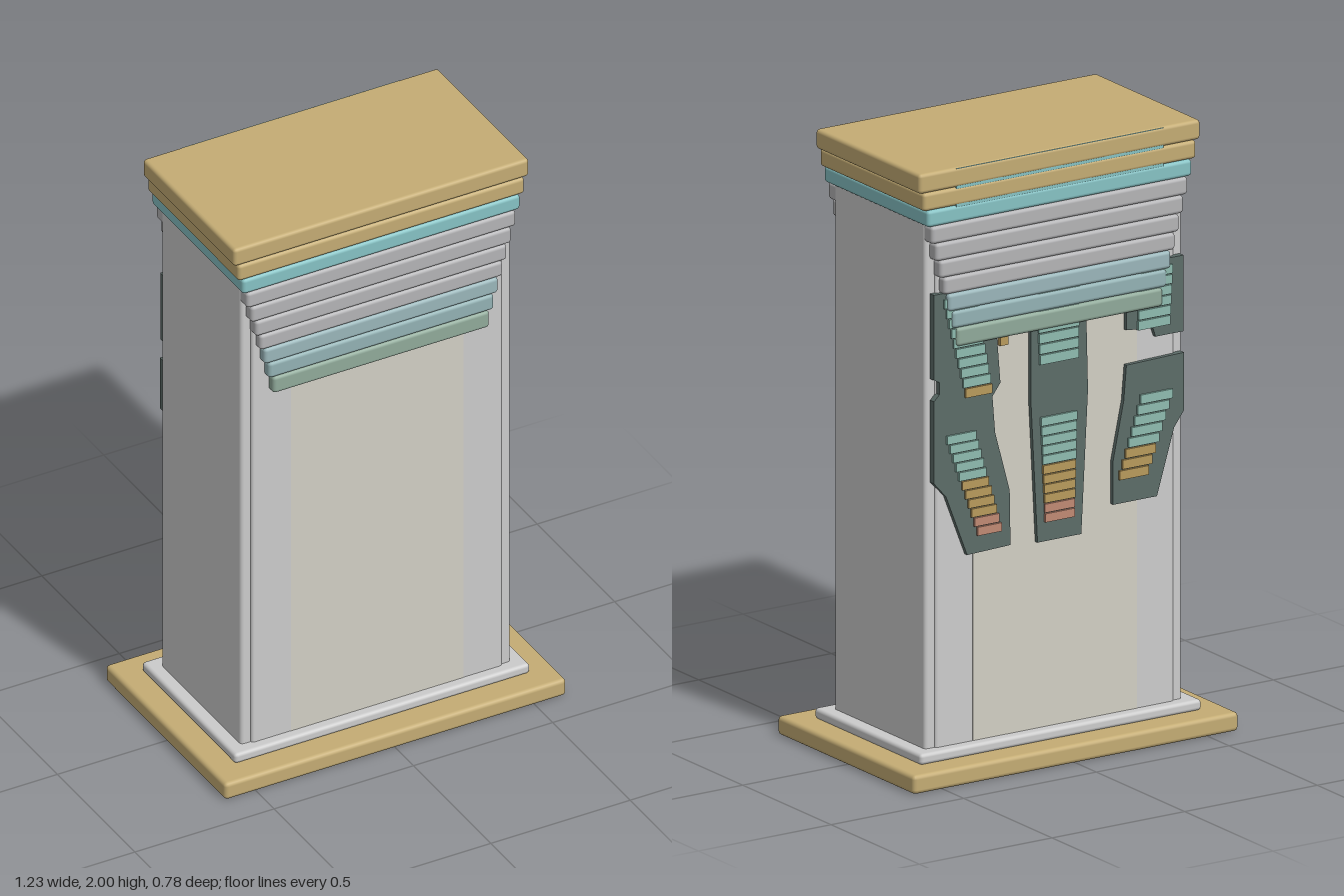
import * as THREE from 'three';
import { RoundedBoxGeometry } from 'three/addons/geometries/RoundedBoxGeometry.js';

const GOLD = 0xc4ac74, TEAL = 0x86c2c4, GREY = 0xb4b4b6, SLATE = 0x5c6c68;
const MINT = 0x8fbcb0, OCHRE = 0xb89a5c, SALMON = 0xc08a74;

export function createModel() {
  const model = new THREE.Group();

  const add = (name, geometry, color, parent = model) => {
    const mesh = new THREE.Mesh(geometry, new THREE.MeshStandardMaterial({ color }));
    mesh.name = name;
    parent.add(mesh);
    return mesh;
  };
  // Box given by its ranges along x, y and z
  const block = (name, [x0, x1], [y0, y1], [z0, z1], color, radius = 0.01, parent = model) => {
    const size = [x1 - x0, y1 - y0, z1 - z0];
    const geometry = radius > 0
      ? new RoundedBoxGeometry(...size, 2, radius)
      : new THREE.BoxGeometry(...size);
    const mesh = add(name, geometry, color, parent);
    mesh.position.set((x0 + x1) / 2, (y0 + y1) / 2, (z0 + z1) / 2);
    return mesh;
  };

  // Plinth
  block('basePlate', [-0.613, 0.613], [0, 0.062], [-0.388, 0.388], GOLD, 0.014);
  block('baseStep', [-0.53, 0.53], [0.06, 0.096], [-0.302, 0.302], 0xbcbcc0, 0.012);

  // Shaft: main block, raised face panels and pale centre fields
  block('shaft', [-0.485, 0.485], [0.08, 1.84], [-0.258, 0.258], 0xcccccc, 0.012);
  block('facePanel', [-0.45, 0.45], [0.08, 1.83], [-0.265, 0.266], 0xcccccc, 0.01);
  block('centreField', [-0.31, 0.31], [0.09, 1.83], [-0.266, 0.267], 0xd2cfc4, 0);

  // Stepped crown, widening upwards
  const crown = new THREE.Group();
  crown.name = 'crown';
  model.add(crown);
  const layerColors = [GOLD, GOLD, TEAL, GREY, GREY, GREY, GREY, 0x9ab6ba, 0x93b2b4, 0x90aa9a];
  const levels = [2, 1.935, 1.875, 1.82, 1.762, 1.703, 1.645, 1.588, 1.53, 1.472, 1.41];
  layerColors.forEach((color, i) => {
    const half = 0.53 - i * 0.0157;
    block('crownLayer', [-half, half], [levels[i + 1], levels[i]], [-0.296, 0.296], color, 0.012, crown);
  });
  block('crownBackInlay', [-0.39, 0.39], [1.83, 1.997], [-0.2935, -0.28], TEAL, 0, crown);

  // Slate plaques on the back
  const back = new THREE.Group();
  back.name = 'backPlaques';
  model.add(back);
  const plaque = (name, points) => {
    const shape = new THREE.Shape(points.map(([x, y]) => new THREE.Vector2(x, y)));
    const geometry = new THREE.ExtrudeGeometry(shape, { depth: 0.022, bevelEnabled: false });
    add(name, geometry, SLATE, back).position.z = -0.28;
  };
  plaque('leftPlaque', [
    [0.465, 1.59], [0.42, 1.59], [0.23, 1.44], [0.215, 1.26], [0.245, 1.22], [0.235, 1.1],
    [0.18, 0.9], [0.177, 0.72], [0.34, 0.715], [0.42, 0.92], [0.465, 0.97],
    [0.465, 1.24], [0.445, 1.26], [0.445, 1.3], [0.465, 1.31]]);
  plaque('middlePlaque', [
    [0.1, 1.59], [0.1, 1.18], [0.075, 0.71], [-0.09, 0.71], [-0.115, 1.18], [-0.105, 1.59]]);
  plaque('rightUpperPlaque', [
    [-0.26, 1.44], [-0.26, 1.35], [-0.36, 1.34], [-0.37, 1.31], [-0.475, 1.31], [-0.475, 1.56], [-0.42, 1.56]]);
  plaque('rightLowerPlaque', [
    [-0.26, 1.235], [-0.25, 1.12], [-0.21, 0.93], [-0.21, 0.785], [-0.375, 0.785],
    [-0.44, 1.0], [-0.477, 1.05], [-0.477, 1.24]]);

  // Stacked inlay bars: each column drifts from its top x range to its bottom one
  const bars = (name, colors, yTop, yBottom, top, bottom) => {
    const step = (yTop - yBottom) / colors.length;
    colors.forEach((color, i) => {
      const t = i / Math.max(1, colors.length - 1);
      const x0 = THREE.MathUtils.lerp(top[0], bottom[0], t);
      const x1 = THREE.MathUtils.lerp(top[1], bottom[1], t);
      const y = yTop - i * step;
      block(name, [x0, x1], [y - step * 0.88, y], [-0.288, -0.275], color, 0, back);
    });
  };
  const run = (mint, ochre, salmon) => [
    ...Array(mint).fill(MINT), ...Array(ochre).fill(OCHRE), ...Array(salmon).fill(SALMON)];
  bars('leftUpperBar', run(9, 1, 0), 1.57, 1.23, [0.31, 0.43], [0.25, 0.35]);
  bars('leftLowerBar', run(5, 4, 2), 1.12, 0.77, [0.31, 0.42], [0.215, 0.305]);
  bars('middleUpperBar', run(8, 0, 0), 1.57, 1.29, [-0.08, 0.08], [-0.075, 0.07]);
  bars('middleLowerBar', run(5, 4, 2), 1.12, 0.77, [-0.07, 0.065], [-0.06, 0.05]);
  bars('rightUpperBar', run(6, 0, 0), 1.54, 1.34, [-0.43, -0.31], [-0.42, -0.3]);
  bars('rightLowerBar', run(5, 3, 0), 1.13, 0.86, [-0.43, -0.31], [-0.34, -0.23]);
  block('smallBar', [0.185, 0.215], [1.38, 1.45], [-0.28, -0.26], OCHRE, 0, back);

  return model;
}
